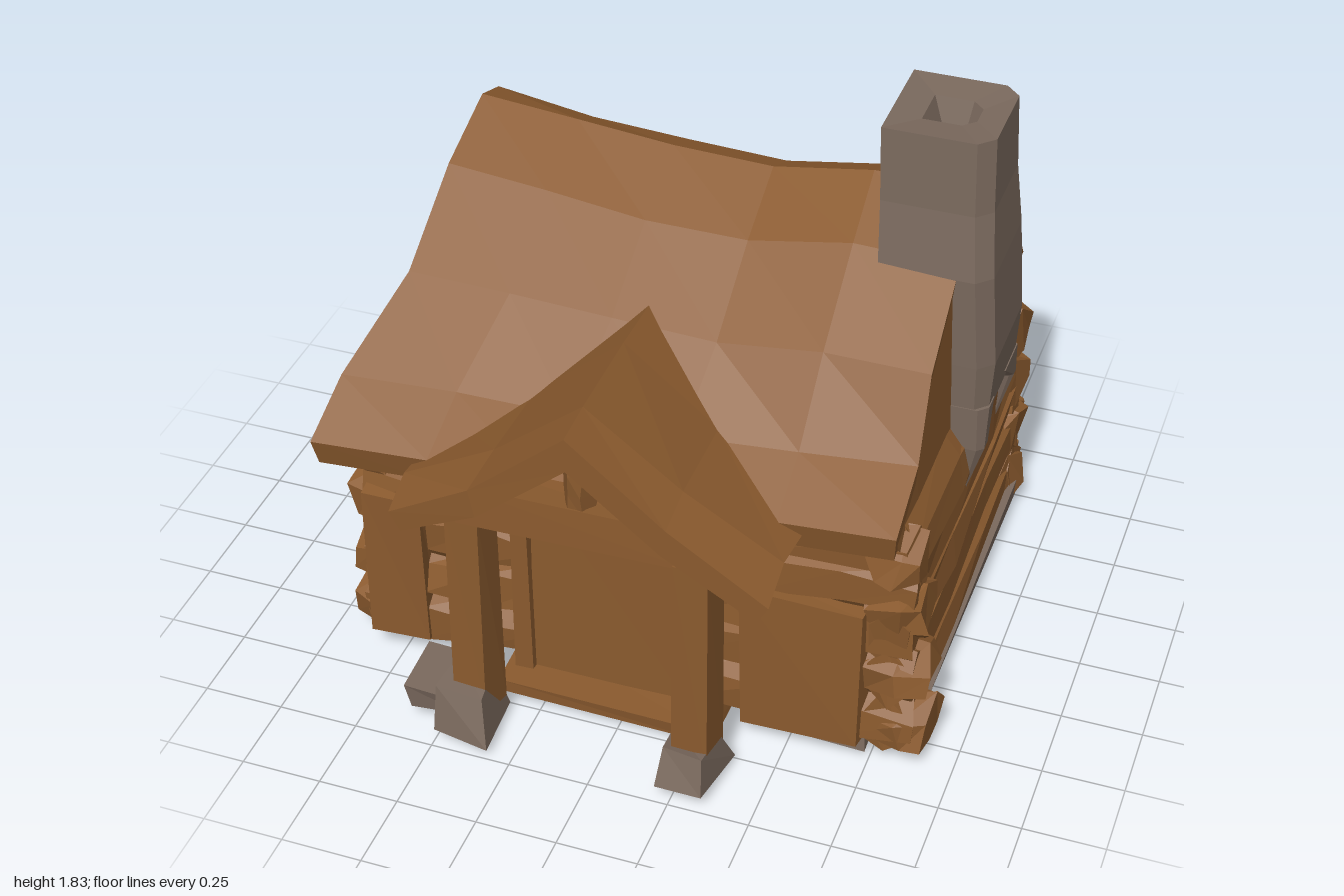
import * as THREE from 'three';

const wood = new THREE.MeshStandardMaterial({ color: 0x8a5a2e });
wood.name = 'wood';
const stone = new THREE.MeshStandardMaterial({ color: 0x7a695d });
stone.name = 'stone';

const V = (x, y, z) => new THREE.Vector3(x, y, z);
const lerp = THREE.MathUtils.lerp;

export function createModel() {
  const model = new THREE.Group();
  model.name = 'logCabin';
  let seed = 11;
  const jitter = (a) => {
    seed = (seed * 16807) % 2147483647;
    return (seed / 2147483647 - 0.5) * 2 * a;
  };

  // Faceted solid through rings of equal, even point count, capped at both ends
  function loft(name, rings, material) {
    const tris = [];
    const quad = (a, b, c, d) => tris.push(a, b, c, a, c, d);
    const m = rings[0].length;
    for (let k = 0; k < rings.length - 1; k++) {
      for (let i = 0; i < m; i++) {
        const j = (i + 1) % m;
        quad(rings[k][i], rings[k][j], rings[k + 1][j], rings[k + 1][i]);
      }
    }
    const s = rings[0], e = rings[rings.length - 1];
    for (let i = 0; i < m / 2 - 1; i++) {
      quad(s[i + 1], s[i], s[m - 1 - i], s[m - 2 - i]);
      quad(e[i], e[i + 1], e[m - 2 - i], e[m - 1 - i]);
    }
    // turn all faces outward
    let volume = 0;
    for (let i = 0; i < tris.length; i += 3) {
      volume += tris[i].dot(tris[i + 1].clone().cross(tris[i + 2]));
    }
    if (volume < 0) tris.reverse();
    const geometry = new THREE.BufferGeometry().setFromPoints(tris);
    geometry.computeVertexNormals();
    const mesh = new THREE.Mesh(geometry, material);
    mesh.name = name;
    model.add(mesh);
  }

  // Rough hewn log between two points
  function log(name, from, to, ru, rv, rough = 0.016, stations = 4) {
    const dir = to.clone().sub(from).normalize();
    const u = Math.abs(dir.y) > 0.8 ? V(1, 0, 0) : V(0, 1, 0);
    const side = dir.clone().cross(u).normalize();
    const up = side.clone().cross(dir);
    const rings = [];
    for (let k = 0; k < stations; k++) {
      const c = from.clone().lerp(to, k / (stations - 1));
      const s = k === 0 || k === stations - 1 ? 0.85 : 1;
      rings.push([...Array(6)].map((_, i) => {
        const a = ((i + 0.5) / 6) * Math.PI * 2;
        return c.clone()
          .addScaledVector(side, Math.cos(a) * rv * s + jitter(rough))
          .addScaledVector(up, Math.sin(a) * ru * s + jitter(rough))
          .addScaledVector(dir, jitter(rough));
      }));
    }
    loft(name, rings, wood);
  }

  // Slightly irregular block; top shrinks the upper face
  function block(name, x0, x1, y0, y1, z0, z1, material = wood, rough = 0.012, top = 1) {
    const cx = (x0 + x1) / 2, cz = (z0 + z1) / 2;
    const ring = (y, s) => [[x0, z0], [x1, z0], [x1, z1], [x0, z1]].map(([x, z]) =>
      V(lerp(cx, x, s) + jitter(rough), y + jitter(rough), lerp(cz, z, s) + jitter(rough)));
    loft(name, [ring(y0, 1), ring(y1, top)], material);
  }

  // Log walls
  const rows = [0.15, 0.33, 0.48, 0.64, 0.76];
  rows.forEach((y, i) => {
    const taper = i > 2 ? 0.06 : 0;
    log('leftLog', V(-0.73, y, -0.76 + taper), V(-0.75, y, 0.6), 0.115, 0.08);
    log('rightLog', V(0.78, y, -0.78 + taper), V(0.79, y, 0.62 - taper), 0.115, 0.085);
    log('backLog', V(-0.86 + taper, y + 0.01, -0.69 + taper), V(0.85 - taper, y + 0.01, -0.69 + taper), 0.115, 0.085);
    if (i < 4) {
      log('frontLogLeft', V(-0.86, y, 0.57), V(-0.27, y, 0.57), 0.11, 0.08);
      log('frontLogRight', V(0.18, y, 0.57), V(0.87, y, 0.57), 0.11, 0.08);
    } else {
      log('frontTopLog', V(-0.84, y, 0.57), V(0.84, y, 0.55), 0.1, 0.08);
    }
  });

  // Knobbly log ends at the corners
  for (const [y, reach] of [[0.14, 0.92], [0.34, 0.9], [0.56, 0.89], [0.75, 0.87]]) {
    for (const s of [-1, 1]) {
      log('frontCorner', V(s * 0.72, y, 0.55), V(s * reach, y, 0.54), 0.1, 0.11, 0.02, 3);
      log('backCorner', V(s * 0.7, y, -0.66), V(s * (s < 0 ? reach : 0.86), y, -0.63), 0.11, s < 0 ? 0.14 : 0.12, 0.018, 3);
    }
  }
  block('frontCornerPlank', -0.84, -0.65, 0.1, 0.64, 0.57, 0.665);
  block('frontPanel', 0.36, 0.73, 0.08, 0.58, 0.57, 0.665);

  // Door, frame and step
  block('door', -0.31, 0.2, 0.06, 0.81, 0.58, 0.65);
  block('doorPostLeft', -0.37, -0.3, 0.06, 0.84, 0.56, 0.67);
  block('doorPostRight', 0.19, 0.27, 0.06, 0.84, 0.56, 0.67);
  block('doorStep', -0.38, 0.3, 0.04, 0.09, 0.52, 0.75, wood, 0.01);

  // Stone footing under the walls
  block('rightFooting', 0.72, 0.865, 0.05, 0.12, -0.7, 0.43, stone, 0.01);
  block('leftFooting', -0.81, -0.68, 0.05, 0.11, -0.65, 0.5, stone, 0.01);
  block('leftFootingStone', -0.8, -0.64, 0.01, 0.07, -0.63, -0.03, stone);
  block('backFooting', -0.4, 0.6, 0.03, 0.1, -0.72, -0.62, stone);
  block('frontFooting', 0.5, 0.74, 0.03, 0.08, 0.54, 0.62, stone, 0.01);

  // Main roof: sagging ridge, eaves flaring to the front left
  const profile = [[-0.89, 0.88], [-0.68, 1.12], [-0.46, 1.34], [-0.28, 1.5], [-0.15, 1.55],
    [0.07, 1.43], [0.33, 1.22], [0.56, 1], [0.76, 0.89]];
  const leftEdge = [-0.68, -0.72, -0.74, -0.75, -0.75, -0.77, -0.79, -0.88, -0.9];
  const rightEdge = [0.79, 0.8, 0.8, 0.8, 0.79, 0.8, 0.8, 0.81, 0.81];
  const sag = [0.02, -0.015, -0.04, -0.045, 0, 0];
  const eaveY = [0.04, 0.02, 0, 0, 0, 0];
  const eaveZ = [0.08, 0.03, 0, -0.02, -0.06, -0.1];
  const roofTops = sag.map((dy, k) => profile.map(([z, y], i) => V(
    lerp(leftEdge[i], rightEdge[i], k / (sag.length - 1)),
    y + dy * THREE.MathUtils.smoothstep(y, 0.85, 1.5) + (i > 6 ? eaveY[k] : 0) + jitter(0.008),
    z + (i > 6 ? eaveZ[k] : 0) + (i === 0 && k === 0 ? 0.08 : 0) + jitter(0.01))));
  loft('mainRoof', roofTops.map((top) => [
    ...top,
    ...top.map((p, i) => V(p.x * 0.99, p.y - (i === 0 ? 0.04 : i > 6 ? 0.09 : 0.07), p.z * 0.97)).reverse(),
  ]), wood);

  // Gable walls filling the roof ends down to the eaves
  for (const [edge, base, s] of [[roofTops[0], 0.78, -1], [roofTops[5], 0.82, 1]]) {
    const ring = (inset) => [
      ...edge.map((p) => V(p.x - s * inset, p.y - 0.03, p.z * 0.96)),
      ...edge.map((p) => V(s * (base - inset), 0.79, p.z * 0.9)).reverse(),
    ];
    loft('gableWall', [ring(0.008), ring(0.07)], wood);
  }

  // Porch roof
  const porch = [[-0.6, 0.88, 0.06], [-0.33, 1.04, 0.09], [-0.05, 1.27, 0.11], [0.24, 1.05, 0.09], [0.54, 0.86, 0.06]];
  loft('porchRoof', [[0.22, -0.04], [0.5, -0.03], [0.83, 0], [0.99, -0.02]].map(([z, dy]) => {
    const top = porch.map(([x, y]) => V(x + jitter(0.01), y + dy + jitter(0.008), z + jitter(0.01)));
    const under = top.map((p, i) => V(lerp(-0.03, p.x, 0.94), p.y - porch[i][2], p.z));
    return [...top, ...under.reverse()];
  }), wood);

  // Porch frame
  block('porchBeam', -0.42, 0.34, 0.82, 0.95, 0.8, 0.91);
  log('kingPost', V(-0.05, 0.92, 0.86), V(-0.05, 1.16, 0.86), 0.05, 0.05, 0.01);
  for (const [x, y] of [[-0.4, 0.21], [0.3, 0.16]]) {
    block('porchPost', x - 0.055, x + 0.055, 0.09, 0.86, 0.81, 0.92);
    // ragged stone foot
    block('postFoot', x - 0.11, x + 0.07, 0.04, y, 0.77, 0.99, stone, 0.02, 0.6);
  }
  block('footStone', -0.61, -0.42, 0.06, 0.14, 0.72, 0.92, stone);

  // Chimney with chamfered outer corners and a sunken flue
  const ring = ([y, x0, x1, z0, z1]) => {
    const c = Math.min(0.045, (z1 - z0) / 4, (x1 - x0) / 4);
    return [[x0, z0], [x1 - c, z0], [x1, z0 + c], [x1, z1 - c], [x1 - c, z1], [x0, z1]]
      .map(([x, z]) => V(x, y, z));
  };
  loft('chimney', [
    [0.92, 0.77, 0.91, -0.31, 0.08], [1.1, 0.7, 0.92, -0.32, 0.09], [1.4, 0.57, 0.9, -0.31, 0.1],
    [1.6, 0.56, 0.88, -0.29, 0.07], [1.83, 0.55, 0.87, -0.28, 0.06],
    [1.82, 0.64, 0.79, -0.18, -0.04], [1.72, 0.68, 0.76, -0.15, -0.07],
  ].map(ring), stone);
  // Two ragged feet gripping the gable
  loft('chimneyFootFront', [[0.63, 0.83, 0.86, 0.03, 0.05], [0.8, 0.78, 0.91, 0, 0.08],
    [0.95, 0.77, 0.915, -0.03, 0.085]].map(ring), stone);
  loft('chimneyFootBack', [[0.65, 0.83, 0.86, -0.33, -0.31], [0.83, 0.78, 0.91, -0.33, -0.28],
    [0.95, 0.77, 0.915, -0.32, -0.1]].map(ring), stone);

  return model;
}
